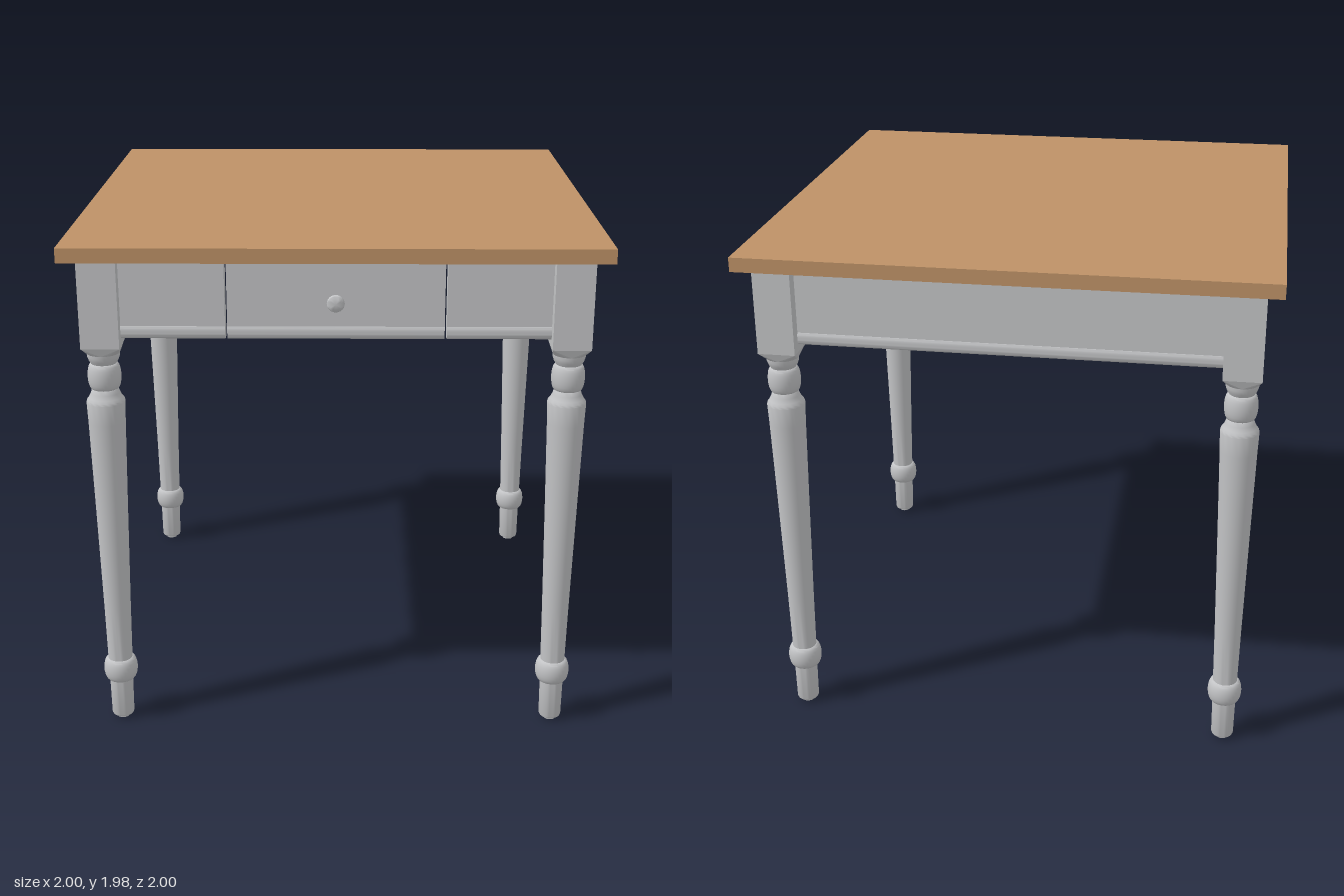
import * as THREE from 'three';
import { toCreasedNormals } from 'three/addons/utils/BufferGeometryUtils.js';
import { ConvexGeometry } from 'three/addons/geometries/ConvexGeometry.js';

const wood = new THREE.MeshStandardMaterial({ color: 0xbd9166 });
wood.name = 'warm wood';
const paint = new THREE.MeshStandardMaterial({ color: 0xc2c3c5 });
paint.name = 'grey paint';

const LEG = 0.868, BLOCK = 0.072, UNDER = 1.925;

function add(parent, name, geometry, material, x = 0, y = 0, z = 0) {
  const mesh = new THREE.Mesh(geometry, material);
  mesh.name = name;
  mesh.position.set(x, y, z);
  parent.add(mesh);
  return mesh;
}

function box(parent, name, material, x0, x1, y0, y1, z0, z1) {
  return add(parent, name, new THREE.BoxGeometry(x1 - x0, y1 - y0, z1 - z0), material,
    (x0 + x1) / 2, (y0 + y1) / 2, (z0 + z1) / 2);
}

function turned(points, segments) {
  const profile = points.map(([r, y]) => new THREE.Vector2(r, y));
  return toCreasedNormals(new THREE.LatheGeometry(profile, segments), 0.6);
}

// Rounded bulge from y0 to y1, swelling from radius r to radius max
function bulge(y0, y1, r, max) {
  const points = [];
  for (let i = 0; i <= 10; i++) {
    const t = i / 10;
    points.push([r + (max - r) * Math.sin(Math.PI * t), y0 + (y1 - y0) * (1 - Math.cos(Math.PI * t)) / 2]);
  }
  return points;
}

// Square block whose lower corners are cut back to the round turning
function blockGeometry() {
  const points = [];
  for (const x of [-BLOCK, BLOCK]) for (const z of [-BLOCK, BLOCK])
    for (const y of [1.585, UNDER]) points.push(new THREE.Vector3(x, y, z));
  for (let i = 0; i < 24; i++) {
    const a = i * Math.PI / 12;
    points.push(new THREE.Vector3(0.062 * Math.cos(a), 1.552, 0.062 * Math.sin(a)));
  }
  return new ConvexGeometry(points);
}

// Rail running along x, facing +z, with a rounded moulding along its lower edge
function railGeometry(length) {
  const s = new THREE.Shape();
  s.moveTo(0.835, UNDER);
  s.lineTo(0.835, 1.625);
  s.quadraticCurveTo(0.835, 1.61, 0.85, 1.61);
  s.lineTo(0.877, 1.61);
  s.quadraticCurveTo(0.896, 1.612, 0.896, 1.632);
  s.quadraticCurveTo(0.896, 1.656, 0.89, 1.66);
  s.lineTo(0.89, UNDER);
  s.closePath();
  const g = new THREE.ExtrudeGeometry(s, { depth: length, bevelEnabled: false, curveSegments: 6 });
  g.translate(0, 0, -length / 2);
  g.rotateY(-Math.PI / 2);
  return toCreasedNormals(g, 0.6);
}

export function createModel() {
  const table = new THREE.Group();
  table.name = 'table';

  box(table, 'tableTop', wood, -1, 1, UNDER, 1.98, -1, 1);

  // Turned legs, listed from the floor up
  const turning = turned([
    [0, 0], [0.024, 0], [0.026, 0.015], [0.041, 0.015], [0.044, 0.022], [0.046, 0.175],
    ...bulge(0.176, 0.27, 0.048, 0.067),
    [0.048, 0.272], [0.052, 0.5], [0.062, 0.95], [0.07, 1.28], [0.073, 1.36],
    [0.071, 1.368], [0.063, 1.378], [0.055, 1.395], [0.05, 1.41],
    ...bulge(1.412, 1.512, 0.048, 0.063),
    [0.049, 1.514], [0.056, 1.525], [0.061, 1.54], [0.062, 1.556], [0, 1.556],
  ], 32);
  const block = blockGeometry();
  for (const sx of [-1, 1]) for (const sz of [-1, 1]) {
    const leg = new THREE.Group();
    leg.name = (sz > 0 ? 'front' : 'back') + (sx > 0 ? 'Left' : 'Right') + 'Leg';
    leg.position.set(sx * LEG, 0, sz * LEG);
    add(leg, 'turnedShaft', turning, paint);
    add(leg, 'cornerBlock', block, paint);
    table.add(leg);
  }

  // Side and back rails
  const span = railGeometry(1.61);
  add(table, 'leftRail', span, paint).rotation.y = Math.PI / 2;
  add(table, 'rightRail', span, paint).rotation.y = -Math.PI / 2;
  add(table, 'backRail', span, paint).rotation.y = Math.PI;

  // Front rail, split around the drawer
  const half = railGeometry(0.395);
  for (const s of [-1, 1]) add(table, s > 0 ? 'frontLeftRail' : 'frontRightRail', half, paint, s * 0.6065);

  // Drawer with open-topped box
  const drawer = new THREE.Group();
  drawer.name = 'drawer';
  add(drawer, 'drawerFront', railGeometry(0.802), paint);
  box(drawer, 'drawerBottom', paint, -0.255, 0.255, 1.66, 1.672, 0.12, 0.836);
  box(drawer, 'drawerBack', paint, -0.255, 0.255, 1.672, 1.88, 0.12, 0.135);
  for (const s of [-1, 1])
    box(drawer, 'drawerSide', paint, s * 0.2475 - 0.0075, s * 0.2475 + 0.0075, 1.672, 1.88, 0.135, 0.836);
  const knob = turned([
    [0.014, 0], [0.014, 0.022], [0.024, 0.03], [0.031, 0.037], [0.033, 0.045],
    [0.03, 0.053], [0.02, 0.059], [0, 0.061],
  ], 24);
  knob.rotateX(Math.PI / 2);
  add(drawer, 'drawerKnob', knob, paint, 0, 1.76, 0.889);
  table.add(drawer);

  return table;
}
